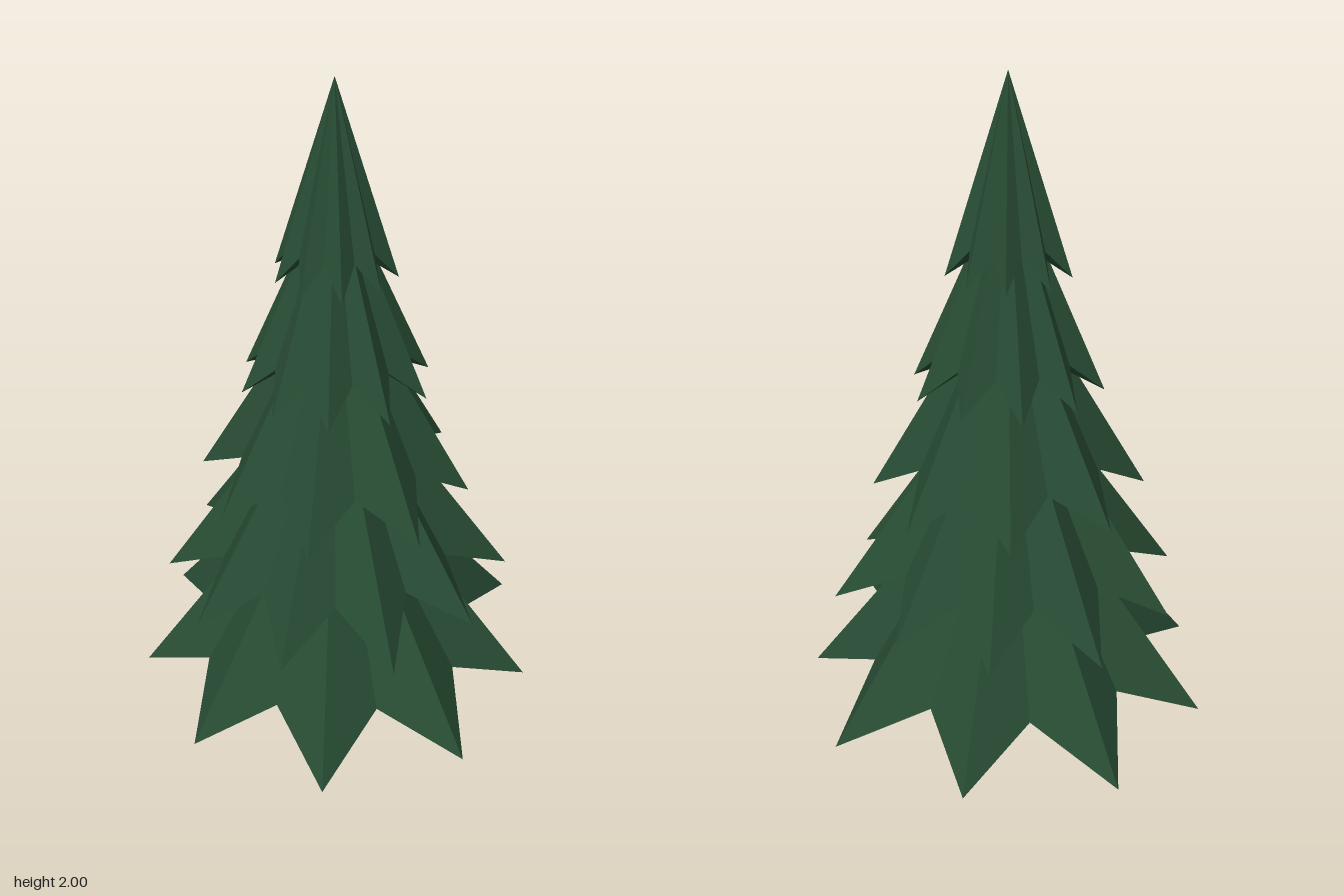
import * as THREE from 'three';

const CENTRE_X = 0.005;

// One star-shaped cone of branches: drooping tips, raised valleys, closed underside
function branchTier({ tipY, height, offset, tips, valley, rise, hub }) {
  const n = tips.length;
  const ring = [];
  tips.forEach((radius, i) => {
    const a = THREE.MathUtils.degToRad(offset + (i * 360) / n);
    const b = a + Math.PI / n;
    ring.push([radius * Math.cos(a), tipY, radius * Math.sin(a)]);
    ring.push([valley * Math.cos(b), tipY + rise, valley * Math.sin(b)]);
  });
  const apex = [0, tipY + height, 0];
  const under = [0, tipY + hub, 0];
  const points = [];
  ring.forEach((p, i) => {
    const q = ring[(i + 1) % ring.length];
    points.push(...apex, ...q, ...p, ...under, ...p, ...q);
  });
  const geometry = new THREE.BufferGeometry();
  geometry.setAttribute('position', new THREE.Float32BufferAttribute(points, 3));
  geometry.computeVertexNormals();
  return geometry;
}

export function createModel() {
  const tree = new THREE.Group();
  tree.name = 'pineTree';

  const needles = new THREE.MeshStandardMaterial({ color: 0x274b33, flatShading: true });
  needles.name = 'needleGreen';
  const bark = new THREE.MeshStandardMaterial({ color: 0x463228, flatShading: true });
  bark.name = 'barkBrown';

  // Seven-sided tapering trunk
  const trunk = new THREE.Mesh(new THREE.CylinderGeometry(0.056, 0.075, 0.5, 7), bark);
  trunk.name = 'trunk';
  trunk.position.set(CENTRE_X, 0.25, 0);
  trunk.rotation.y = Math.PI / 2;
  tree.add(trunk);

  // Branch tiers from bottom to top; angles run from +x towards +z
  const tiers = [
    { tipY: 0.19, height: 0.77, offset: 22.7, valley: 0.415, rise: 0.11, hub: 0.17,
      tips: [0.622, 0.59, 0.606, 0.605, 0.585, 0.575, 0.6, 0.631, 0.602] },
    { tipY: 0.51, height: 0.73, offset: 13, valley: 0.335, rise: 0.11, hub: 0.15,
      tips: [0.462, 0.513, 0.48, 0.505, 0.486, 0.484, 0.493, 0.497, 0.503, 0.476] },
    { tipY: 0.83, height: 0.67, offset: 15, valley: 0.265, rise: 0.1, hub: 0.14,
      tips: [0.392, 0.385, 0.4, 0.385, 0.378, 0.388, 0.385, 0.38] },
    { tipY: 1.15, height: 0.61, offset: -1, valley: 0.185, rise: 0.09, hub: 0.12,
      tips: [0.262, 0.27, 0.265, 0.27, 0.265, 0.257, 0.258, 0.265, 0.262, 0.27] },
    { tipY: 1.47, height: 0.53, offset: 13, valley: 0.112, rise: 0.08, hub: 0.1,
      tips: [0.162, 0.168, 0.165, 0.168, 0.157, 0.16, 0.172, 0.178, 0.165] },
  ];
  tiers.forEach((tier, i) => {
    const mesh = new THREE.Mesh(branchTier(tier), needles);
    mesh.name = `branchTier${i + 1}`;
    mesh.position.x = CENTRE_X;
    tree.add(mesh);
  });

  return tree;
}
